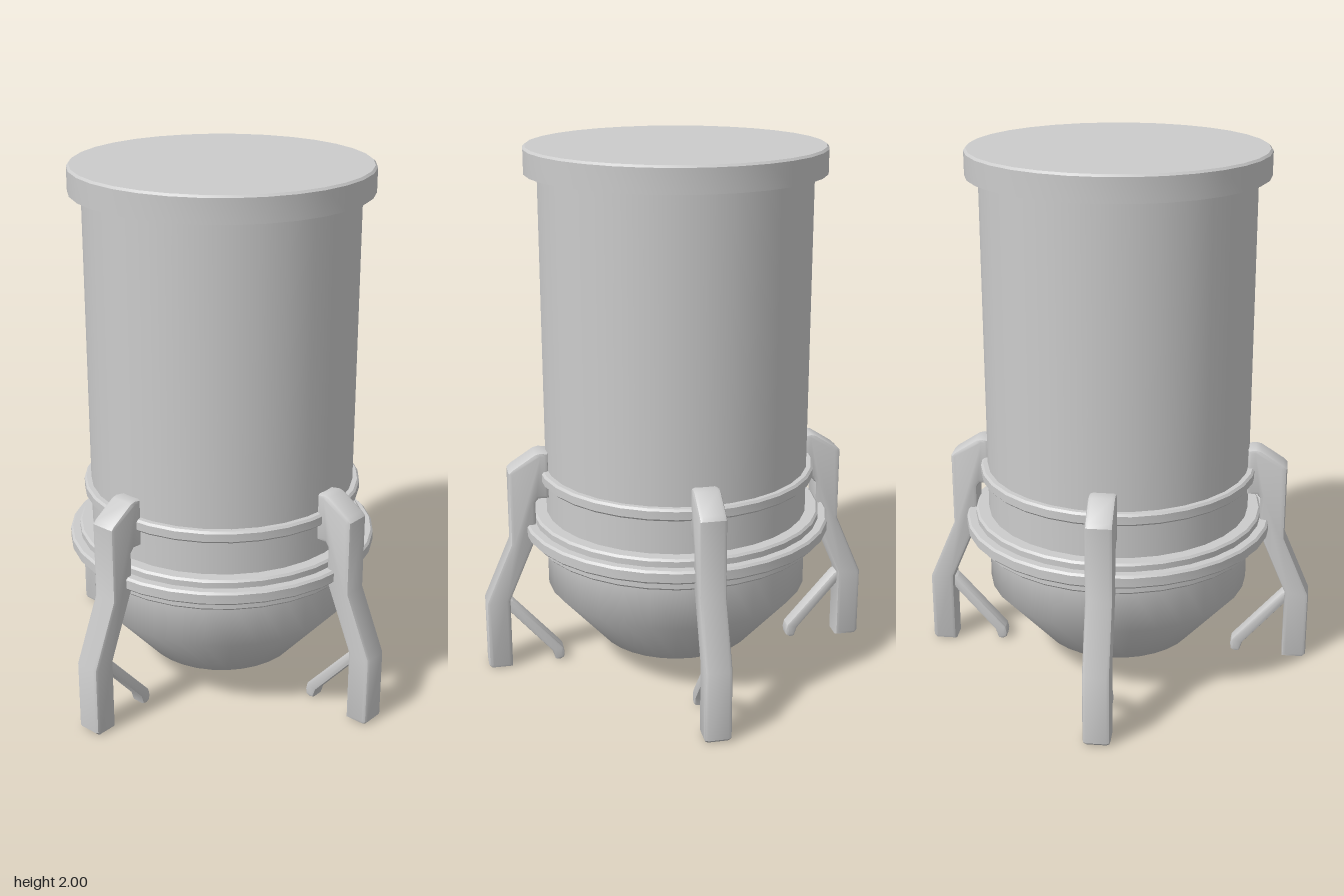
import * as THREE from 'three';
import { toCreasedNormals } from 'three/addons/utils/BufferGeometryUtils.js';

const SEGMENTS = 32;
const material = new THREE.MeshStandardMaterial({ color: 0xcccccc });

function mesh(name, geometry) {
  const m = new THREE.Mesh(geometry, material);
  m.name = name;
  return m;
}

// Revolve a [radius, y] profile, listed bottom to top, around the y axis
function lathe(name, points, crease) {
  const profile = points.map(([r, y]) => new THREE.Vector2(r, y));
  const geometry = new THREE.LatheGeometry(profile, SEGMENTS);
  return mesh(name, crease ? toCreasedNormals(geometry, crease) : geometry);
}

// Hoop of rectangular section with softened outer edges
function hoop(name, inner, outer, y0, y1) {
  const b = 0.008;
  return lathe(name, [
    [inner, y0], [outer - b, y0], [outer, y0 + b],
    [outer, y1 - b], [outer - b, y1], [inner, y1],
  ], 0.5);
}

// Bevelled plate cut from a side profile, centred across its width
function plate(name, points, width, bevel) {
  const shape = new THREE.Shape(points.map(([x, y]) => new THREE.Vector2(x, y)));
  const geometry = new THREE.ExtrudeGeometry(shape, {
    depth: width - 2 * bevel,
    bevelThickness: bevel, bevelSize: bevel, bevelOffset: -bevel, bevelSegments: 2,
  });
  geometry.translate(0, 0, bevel - width / 2);
  return mesh(name, toCreasedNormals(geometry, 0.6));
}

// Leg pointing along +x: bracket, bent upright and inner strut
function createLeg() {
  const leg = new THREE.Group();
  leg.add(plate('legUpright', [
    [0.655, 0.005], [0.735, 0.005], [0.747, 0.017], [0.747, 0.28], [0.645, 0.52],
    [0.645, 0.805], [0.63, 0.82], [0.545, 0.875], [0.525, 0.88], [0.495, 0.875],
    [0.495, 0.695], [0.535, 0.695], [0.547, 0.68], [0.547, 0.54], [0.655, 0.285],
  ], 0.1, 0.014));
  leg.add(plate('legStrut', [
    [0.67, 0.245], [0.67, 0.285], [0.645, 0.275], [0.455, 0.06], [0.45, 0.035],
    [0.453, 0.015], [0.468, 0.006], [0.486, 0.01], [0.497, 0.045],
  ], 0.06, 0.009));
  return leg;
}

export function createModel() {
  const model = new THREE.Group();
  model.name = 'canister';

  // Main vessel and lid
  model.add(mesh('body', new THREE.CylinderGeometry(0.5, 0.5, 1.42, SEGMENTS, 1, true).translate(0, 1.21, 0)));
  model.add(lathe('lid', [
    [0.49, 1.905], [0.548, 1.905], [0.548, 1.992], [0.54, 2], [0, 2],
  ], 0.5));

  // Tapered bottom with a shallow outlet
  model.add(lathe('bowl', [[0, 0.105], [0.3, 0.105], [0.5, 0.33], [0.5, 0.5]]));
  model.add(lathe('outlet', [[0, 0.06], [0.13, 0.06], [0.172, 0.107]], 0.5));

  // Hoops and band gripping the vessel
  model.add(hoop('upperHoop', 0.495, 0.526, 0.758, 0.804));
  model.add(hoop('band', 0.495, 0.55, 0.505, 0.625));
  model.add(hoop('lowerHoop', 0.54, 0.586, 0.545, 0.595));

  // Four legs, a quarter turn apart
  ['left', 'back', 'right', 'front'].forEach((side, i) => {
    const leg = createLeg();
    leg.name = `${side}Leg`;
    leg.rotation.y = i * Math.PI / 2;
    model.add(leg);
  });
  return model;
}
